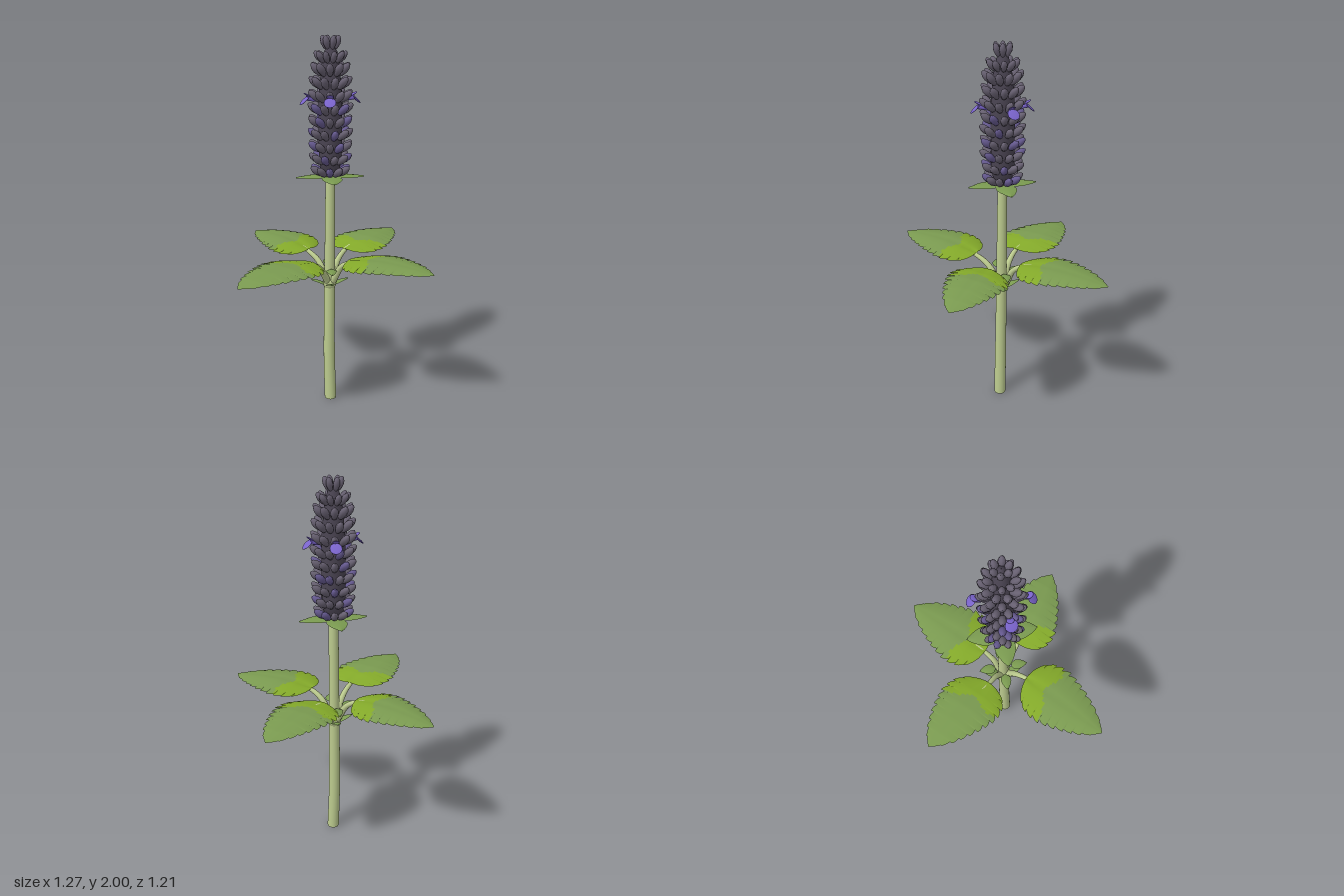
import * as THREE from 'three';
import { mergeGeometries } from 'three/addons/utils/BufferGeometryUtils.js';

const mat = (name, color, side = THREE.FrontSide) => {
  const m = new THREE.MeshStandardMaterial({ color, side });
  m.name = name;
  return m;
};
const V = (x, y, z) => new THREE.Vector3(x, y, z);

// Linear interpolation through [t, value] pairs
function profile(pairs, t) {
  for (let i = 1; i < pairs.length; i++) {
    const [t0, a] = pairs[i - 1], [t1, b] = pairs[i];
    if (t <= t1) return a + (b - a) * (t - t0) / (t1 - t0);
  }
  return pairs[pairs.length - 1][1];
}

// Tube whose radius runs from r0 to r1
function taperedTube(points, r0, r1, n = 16, sides = 12) {
  const curve = new THREE.CatmullRomCurve3(points);
  const geo = new THREE.TubeGeometry(curve, n, r0, sides);
  const pos = geo.attributes.position, p = V(0, 0, 0);
  for (let i = 0; i <= n; i++) {
    const c = curve.getPointAt(i / n);
    for (let j = 0; j <= sides; j++) {
      const k = i * (sides + 1) + j;
      p.fromBufferAttribute(pos, k).sub(c).multiplyScalar(1 + (r1 / r0 - 1) * i / n).add(c);
      pos.setXYZ(k, p.x, p.y, p.z);
    }
  }
  return geo;
}

// Sheet built from rows of points across the leaf; isBase picks the second colour
function sheet(rows, isBase) {
  const cols = rows[0].length, pos = [], groups = [[], []];
  rows.forEach(r => r.forEach(p => pos.push(p.x, p.y, p.z)));
  for (let i = 0; i < rows.length - 1; i++) {
    for (let j = 0; j < cols - 1; j++) {
      const a = i * cols + j, b = a + cols;
      groups[isBase(i, j) ? 1 : 0].push(a, a + 1, b, a + 1, b + 1, b);
    }
  }
  const geo = new THREE.BufferGeometry();
  geo.setAttribute('position', new THREE.Float32BufferAttribute(pos, 3));
  geo.setIndex(groups.flat());
  geo.addGroup(0, groups[0].length, 0);
  geo.addGroup(groups[0].length, groups[1].length, 1);
  geo.computeVertexNormals();
  return geo;
}

const LEAF_WIDTH = [[0, 0.02], [0.015, 0.075], [0.06, 0.115], [0.13, 0.145], [0.23, 0.162], [0.35, 0.163],
  [0.5, 0.145], [0.65, 0.118], [0.8, 0.083], [0.92, 0.042], [1, 0]];
const LEAF_HEIGHT = [[0, 0.866], [0.2, 0.885], [0.4, 0.893], [0.6, 0.89], [0.8, 0.881], [1, 0.863]];

// Saw-toothed leaf running along +x
function leafGeometry(start, end, z0, bend) {
  const teeth = 11, cols = 16, ts = [], rows = [];
  for (let k = 0; k < teeth; k++)
    for (const f of [0, 0.12, 0.35, 0.6, 0.85, 0.98]) ts.push([(k + f) / teeth, f]);
  ts.push([1, 0]);
  for (const [t, f] of ts) {
    const tooth = 0.91 + 0.13 * Math.sin(Math.min(1, f * 1.1) * Math.PI / 2);
    const w = profile(LEAF_WIDTH, t), row = [];
    for (let j = 0; j <= cols; j++) {
      const s = j / cols * 2 - 1;
      const edge = 1 + (tooth - 1) * Math.abs(s) ** 3;
      const y = profile(LEAF_HEIGHT, t) - 0.026 * s * s * (w / 0.163) - 0.006 * Math.exp(-s * s * 60) * (1 - t);
      // Rounded shoulders at the base, tooth points swept forward
      const sweep = 0.012 * Math.abs(s) ** 4 * f * (1 - t);
      row.push(V(start + (end - start) * t + sweep, y, z0 + bend * t + s * w * edge));
    }
    rows.push(row);
  }
  return sheet(rows, (i, j) => {
    const s = (j + 0.5) / cols * 2 - 1;
    return ts[i][0] < 0.2 + 0.12 * Math.sin(Math.min(1, Math.abs(s) * 1.4) * Math.PI / 2) + 0.02 * s;
  });
}

// Plain pointed leaflet along +x from the origin
function leafletGeometry(length, width, rise, droop) {
  const rows = [];
  for (let i = 0; i <= 10; i++) {
    const t = i / 10, w = width * Math.sin(Math.PI * t ** 0.75) ** 0.8 + 0.004 * (1 - t);
    rows.push([-1, -0.5, 0, 0.5, 1].map(s =>
      V(length * t, rise * t - droop * t * t - 0.006 * s * s, s * (i === 10 ? 0 : w))));
  }
  return sheet(rows, () => false);
}

export function createModel() {
  const stemMat = mat('pale stem green', 0xbccb8e);
  const leafMat = mat('leaf green', 0x7a9a50, THREE.DoubleSide);
  const brightMat = mat('bright leaf base', 0x84aa2a, THREE.DoubleSide);
  const budMat = mat('dusky bud', 0x686172);
  const violetMat = mat('violet bud', 0x665a90);
  const coreMat = mat('dark spike core', 0x4a4452);
  const flowerMat = mat('flower purple', 0x7a64cc, THREE.DoubleSide);

  const root = new THREE.Group();
  root.name = 'floweringHerb';
  const add = (parent, name, geo, material) => {
    const m = new THREE.Mesh(geo, material);
    m.name = name;
    parent.add(m);
    return m;
  };
  const CX = 0.024;

  // Stem with end caps and node swelling
  add(root, 'stem', taperedTube([V(0.016, 0.004, 0.01), V(0.015, 0.25, 0.002), V(0.018, 0.6, 0),
    V(0.021, 0.95, 0), V(CX, 1.31, 0)], 0.033, 0.025, 30, 20), stemMat);
  const cap = add(root, 'stemEnd', new THREE.CylinderGeometry(0.033, 0.032, 0.008, 20), stemMat);
  cap.position.set(0.016, 0.004, 0.01);
  const node = add(root, 'stemNode', new THREE.SphereGeometry(0.036, 20, 12), stemMat);
  node.position.set(0.019, 0.70, 0);
  node.scale.y = 1.1;

  // Four serrated leaves with petioles: angle, start, end, side offset, bend
  const leaves = [[0, 0.14, 0.632, 0, 0], [Math.PI, 0.135, 0.637, 0, 0.035],
    [-Math.PI / 2, 0.135, 0.603, -0.02, -0.068], [Math.PI / 2, 0.14, 0.61, 0.02, 0.062]];
  for (const [angle, start, end, z0, bend] of leaves) {
    const g = new THREE.Group();
    g.name = 'leafWithStalk';
    g.rotation.y = angle;
    add(g, 'leafBlade', leafGeometry(start, end, z0, bend), [leafMat, brightMat]);
    const o = Math.abs(angle) < 1 ? 0.02 : angle > 3 ? -0.02 : 0;
    add(g, 'leafStalk', taperedTube([V(o, 0.68, z0), V(o + 0.035, 0.74, z0), V(0.08 + o / 2, 0.81, z0),
      V(0.15, 0.85, z0), V(0.24, 0.869, z0 + bend * 0.22), V(0.34, 0.878, z0 + bend * 0.42)], 0.022, 0.004, 20, 10), stemMat);
    root.add(g);
  }

  // Small leaflets at the node and bracts under the spike, all on the diagonals
  for (let k = 0; k < 4; k++) {
    const a = Math.PI / 4 + k * Math.PI / 2;
    const place = (name, geo, y, r, x) => {
      const m = add(root, name, geo, leafMat);
      m.rotation.y = a;
      m.position.set(x + r * Math.cos(a), y, -r * Math.sin(a));
    };
    place('nodeLeaflet', leafletGeometry(0.08, 0.022, 0.05, 0.02), 0.695, 0.02, 0.019);
    place('upperLeaflet', leafletGeometry(0.09, 0.026, 0.025, 0.025), 0.795, 0.045, 0.019);
    place('spikeBract', leafletGeometry(0.17, 0.05, 0.012, 0.016), 1.295, 0.008, CX);
  }

  // Spike core
  const core = add(root, 'spikeCore', new THREE.LatheGeometry([[0, 1.29], [0.045, 1.3], [0.06, 1.4], [0.06, 1.7],
    [0.045, 1.86], [0.02, 1.96], [0, 1.97]].map(p => new THREE.Vector2(...p)), 16), coreMat);
  core.position.x = CX;

  // Whorls of buds
  const bud = new THREE.LatheGeometry([[0, 0], [0.013, 0.016], [0.02, 0.045], [0.018, 0.066], [0.009, 0.083],
    [0, 0.088]].map(p => new THREE.Vector2(...p)), 8);
  const dusky = [], violet = [], whorls = 11;
  for (let w = 0; w < whorls; w++) {
    const f = w / (whorls - 1);
    const reach = profile([[0, 0.1], [0.2, 0.11], [0.6, 0.11], [0.8, 0.096], [0.9, 0.078], [1, 0.042]], f);
    const tilt = profile([[0, 0.95], [0.6, 0.85], [0.9, 0.65], [1, 0.3]], f);
    const size = f > 0.85 ? 0.85 : 1;
    const count = w === whorls - 1 ? 6 : 10;
    for (let i = 0; i < count; i++) {
      const a = (i + (w % 2) / 2) / count * Math.PI * 2;
      const m = new THREE.Matrix4().makeTranslation(CX, 1.295 + f * 0.63, 0)
        .multiply(new THREE.Matrix4().makeRotationY(a))
        .multiply(new THREE.Matrix4().makeTranslation(Math.max(0.01, reach - 0.083 * size * Math.sin(tilt)), 0, 0))
        .multiply(new THREE.Matrix4().makeRotationZ(-tilt))
        .scale(V(size, size, size));
      (w < 6 && (i + w) % 3 === 0 ? violet : dusky).push(bud.clone().applyMatrix4(m));
    }
  }
  add(root, 'duskyBuds', mergeGeometries(dusky), budMat);
  add(root, 'violetBuds', mergeGeometries(violet), violetMat);

  // Four open flowers: short throat, upper petal and round lower lip
  for (const sx of [1, -1]) for (const sz of [1, -1]) {
    const g = new THREE.Group();
    g.name = 'openFlower';
    g.position.set(CX + sx * 0.07, 1.69, sz * 0.055);
    g.rotation.y = Math.atan2(-sz * 0.7, sx);
    const throat = add(g, 'flowerThroat', new THREE.CylinderGeometry(0.014, 0.008, 0.05, 10, 1, true), flowerMat);
    throat.rotation.z = -1.3;
    throat.position.x = 0.01;
    const lip = add(g, 'lowerLip', new THREE.SphereGeometry(0.032, 14, 8), flowerMat);
    lip.scale.set(1, 0.14, 0.95);
    lip.rotation.z = -0.75;
    lip.position.set(0.045, -0.006, 0);
    const upper = add(g, 'upperPetal', new THREE.SphereGeometry(0.022, 12, 8), flowerMat);
    upper.scale.set(1, 0.2, 0.8);
    upper.rotation.z = 0.5;
    upper.position.set(0.03, 0.02, 0);
    root.add(g);
  }
  return root;
}
